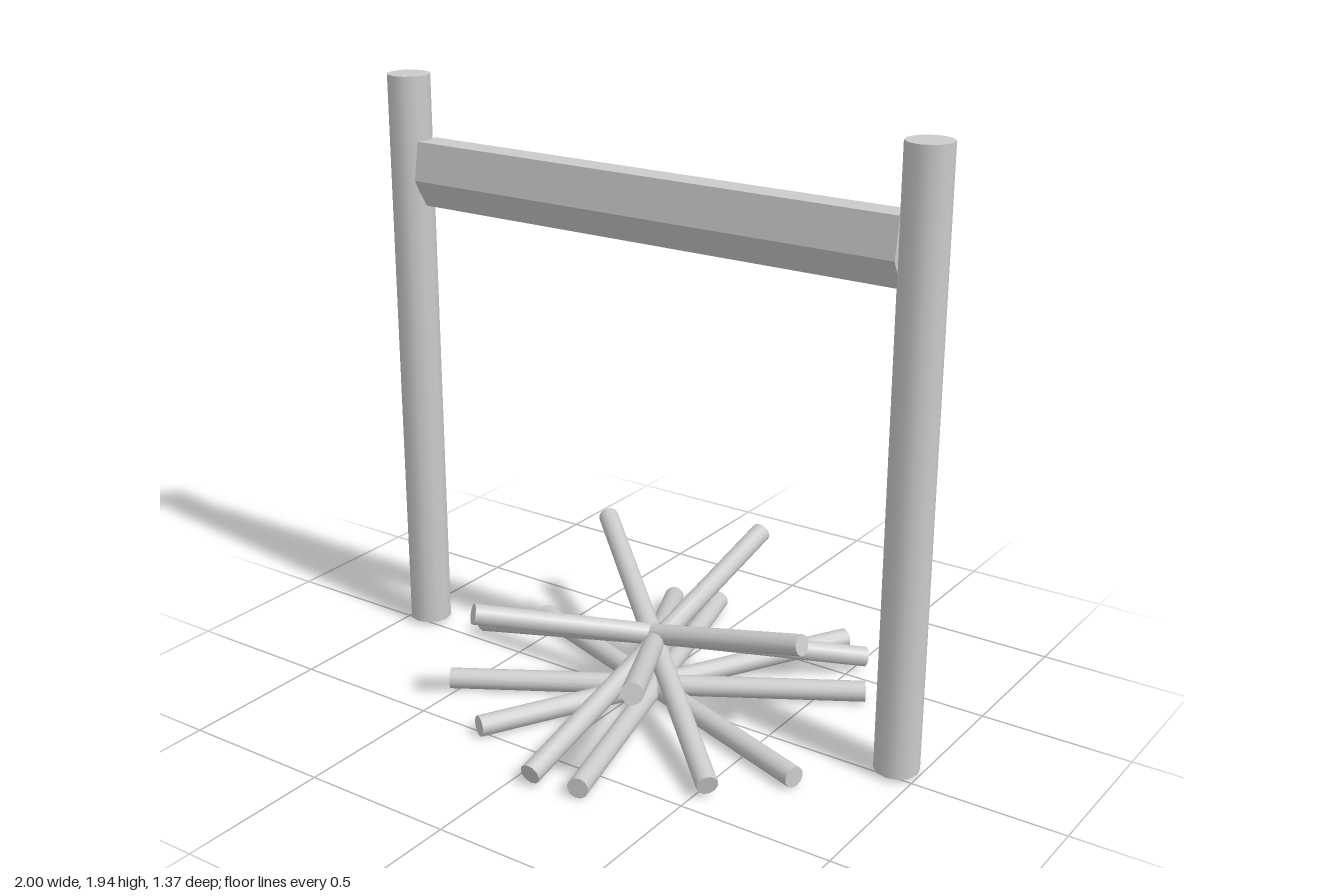
import * as THREE from 'three';

const material = new THREE.MeshStandardMaterial({ color: 0xcccccc });
const UP = new THREE.Vector3(0, 1, 0);

// Round bar running between two end points
function bar(name, from, to, radius, sides) {
  const a = new THREE.Vector3(...from);
  const b = new THREE.Vector3(...to);
  const dir = b.clone().sub(a);
  const mesh = new THREE.Mesh(new THREE.CylinderGeometry(radius, radius, dir.length(), sides), material);
  mesh.name = name;
  mesh.position.copy(a).add(b).multiplyScalar(0.5);
  mesh.quaternion.setFromUnitVectors(UP, dir.normalize());
  return mesh;
}

export function createModel() {
  const model = new THREE.Group();
  model.name = 'campfireFrame';

  // Two upright posts
  for (const [name, x] of [['leftPost', 0.93], ['rightPost', -0.93]]) {
    model.add(bar(name, [x, 0.015, -0.038], [x, 1.945, -0.038], 0.071, 12));
  }

  // Roughly hewn crossbeam: uneven six-sided section (z, y) extruded along x
  const section = [
    [0, 1.735], [0.02, 1.61], [-0.025, 1.52],
    [-0.105, 1.53], [-0.113, 1.705], [-0.088, 1.735],
  ];
  const shape = new THREE.Shape(section.map(([z, y]) => new THREE.Vector2(-z, y)));
  const beamGeometry = new THREE.ExtrudeGeometry(shape, { depth: 1.74, bevelEnabled: false });
  beamGeometry.translate(0, 0, -0.87).rotateY(Math.PI / 2);
  const beam = new THREE.Mesh(beamGeometry, material);
  beam.name = 'crossbeam';
  model.add(beam);

  // Firewood: sticks crossing at the middle of the pile
  const pile = new THREE.Group();
  pile.name = 'firewood';
  const flat = 0.037, low = 0.046, high = 0.364;
  const sticks = [
    // lying on the ground
    [[-0.565, flat, -0.235], [0.72, flat, 0.22]],
    [[-0.12, flat, -0.68], [0.225, flat, 0.64]],
    [[0.4, flat, -0.675], [-0.25, flat, 0.52]],
    [[0.64, flat, -0.375], [-0.53, flat, 0.325]],
    // leaning, one end raised
    [[0.54, low, 0.42], [-0.45, high, -0.46]],
    [[0.07, low, 0.67], [0.07, high, -0.645]],
    [[-0.695, low, -0.05], [0.62, high, 0.02]],
    [[-0.26, low, -0.6], [0.37, high, 0.565]],
    [[0.53, low, -0.575], [-0.34, high, 0.425]],
  ];
  sticks.forEach(([from, to], i) => pile.add(bar(`stick${i + 1}`, from, to, 0.034, 12)));
  model.add(pile);

  return model;
}
